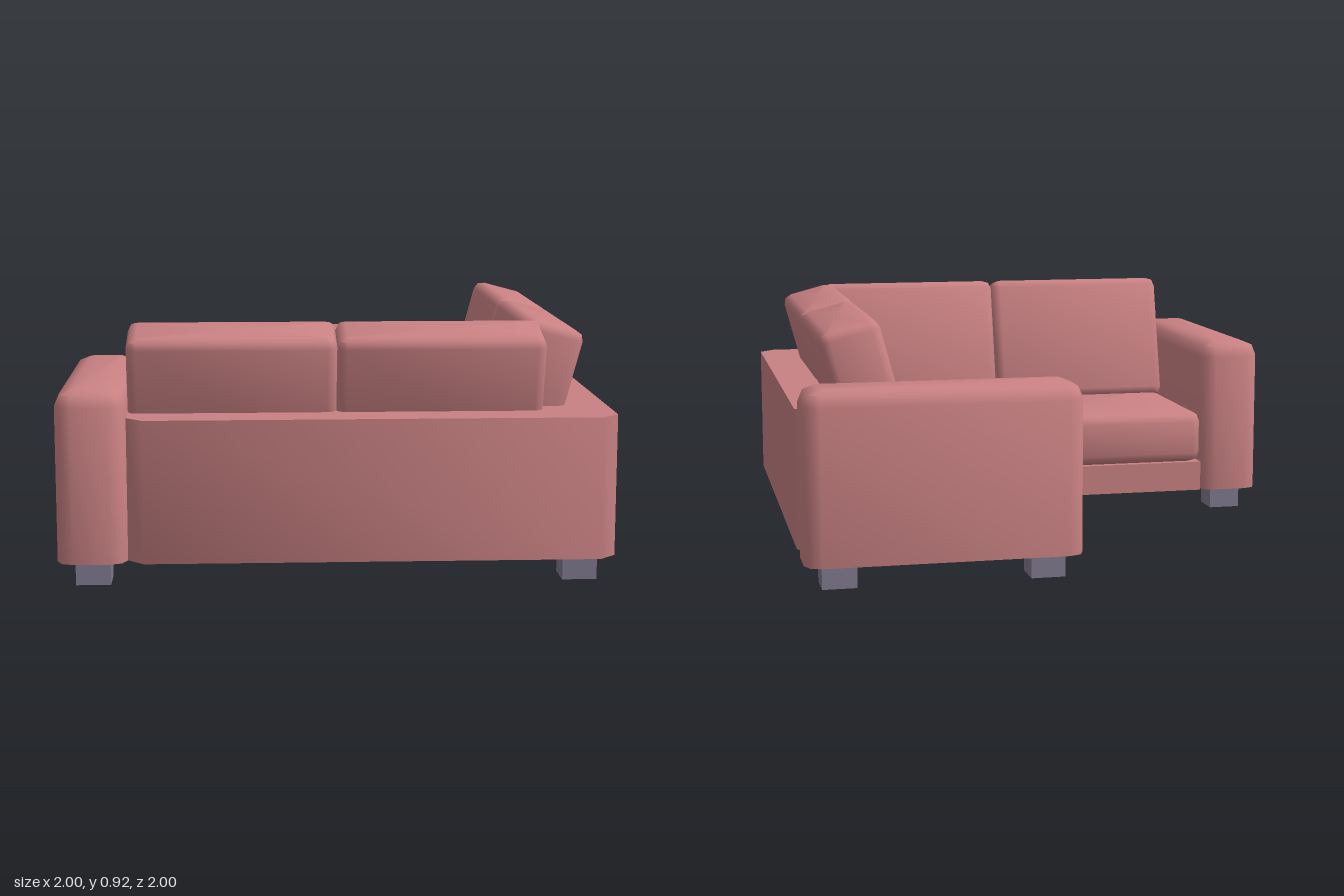
import * as THREE from 'three';
import { toCreasedNormals } from 'three/addons/utils/BufferGeometryUtils.js';

const CREASE = 0.9;

// Points around a rectangle with rounded corners, at height y
function ring(w, d, r, y, seg) {
  const pts = [];
  const signs = [[1, 1], [-1, 1], [-1, -1], [1, -1]];
  signs.forEach(([sx, sz], q) => {
    for (let i = 0; i <= seg; i++) {
      const a = (q + i / seg) * Math.PI / 2;
      pts.push([sx * (w / 2 - r) + r * Math.cos(a), y, sz * (d / 2 - r) + r * Math.sin(a)]);
    }
  });
  return pts;
}

// Upholstered block: rounded upright corners, rounded top, optionally rounded bottom
function softBox(w, h, d, r, seg, roundBottom) {
  const rings = [];
  const add = (inset, y) =>
    rings.push(ring(w - 2 * inset, d - 2 * inset, Math.max(r - inset, r * 0.3), y, seg));
  if (roundBottom) {
    for (let i = 0; i < seg; i++) {
      const a = (i / seg) * Math.PI / 2;
      add(r * (1 - Math.sin(a)), -h / 2 + r * (1 - Math.cos(a)));
    }
    add(0, -h / 2 + r);
  } else add(0, -h / 2);
  for (let i = 0; i <= seg; i++) {
    const a = (i / seg) * Math.PI / 2;
    add(r * (1 - Math.cos(a)), h / 2 - r + r * Math.sin(a));
  }
  const n = rings[0].length;
  const pos = rings.flat(2);
  const idx = [];
  for (let i = 0; i < rings.length - 1; i++) {
    for (let j = 0; j < n; j++) {
      const k = (j + 1) % n;
      const a = i * n + j, b = i * n + k, c = a + n, e = b + n;
      idx.push(a, c, e, a, e, b);
    }
  }
  // Caps
  const bottom = rings.length * n, top = bottom + 1, last = (rings.length - 1) * n;
  pos.push(0, -h / 2, 0, 0, h / 2, 0);
  for (let j = 0; j < n; j++) {
    const k = (j + 1) % n;
    idx.push(bottom, j, k, top, last + k, last + j);
  }
  const g = new THREE.BufferGeometry();
  g.setAttribute('position', new THREE.Float32BufferAttribute(pos, 3));
  g.setIndex(idx);
  return toCreasedNormals(g, CREASE);
}

// Floor-plan outline given as [x, z], raised from y0 to y1
function planExtrude(points, y0, y1) {
  const shape = new THREE.Shape(points.map(([x, z]) => new THREE.Vector2(x, z)));
  const g = new THREE.ExtrudeGeometry(shape, { depth: y1 - y0, bevelEnabled: false });
  g.rotateX(Math.PI / 2).translate(0, y1, 0);
  return toCreasedNormals(g, CREASE);
}

export function createModel() {
  const fabric = new THREE.MeshStandardMaterial({ color: 0xc98183 });
  fabric.name = 'rose fabric';
  const legPaint = new THREE.MeshStandardMaterial({ color: 0x807a8f });
  legPaint.name = 'grey legs';

  const sofa = new THREE.Group();
  sofa.name = 'cornerSofa';
  const add = (name, geo, mat, x = 0, y = 0, z = 0) => {
    const m = new THREE.Mesh(geo, mat);
    m.name = name;
    m.position.set(x, y, z);
    m.rotation.order = 'YXZ';
    sofa.add(m);
    return m;
  };

  // Seat deck and the taller back frame around the outside
  add('seatDeck', planExtrude(
    [[-0.75, 0.01], [0.01, 0.01], [0.01, -0.75], [0.75, -0.75], [0.75, 0.75], [-0.75, 0.75]],
    0.09, 0.21), fabric);
  add('backFrame', planExtrude(
    [[-0.75, 0.75], [-0.75, 0.94], [-0.69, 1], [0.94, 1], [1, 0.94], [1, -0.69],
      [0.94, -0.75], [0.75, -0.75], [0.75, 0.75]],
    0.09, 0.605), fabric);

  // Seat cushions: corner and one on each wing
  const seat = softBox(0.75, 0.21, 0.75, 0.04, 2, true);
  [[0.375, 0.375], [-0.375, 0.375], [0.375, -0.375]].forEach(([x, z]) =>
    add('seatCushion', seat, fabric, x, 0.315, z));

  // The two wings are the same with x and z exchanged
  const arm = softBox(0.25, 0.62, 1, 0.06, 2, false);
  const backCushion = softBox(0.75, 0.53, 0.225, 0.035, 2, true);
  for (const swap of [false, true]) {
    const place = (name, geo, x, y, z) => {
      const m = add(name, geo, fabric, swap ? z : x, y, swap ? x : z);
      if (swap) m.rotation.y = Math.PI / 2;
      return m;
    };
    place('armrest', arm, -0.875, 0.4, 0.5);
    for (const x of [-0.375, 0.375]) {
      place('backCushion', backCushion, x, 0.643, 0.741).rotation.x = 0.26;
    }
  }

  // Legs
  const leg = new THREE.BoxGeometry(0.125, 0.09, 0.125);
  [[-0.875, 0.125], [-0.875, 0.875], [0.875, 0.875], [0.875, -0.875], [0.125, -0.875]]
    .forEach(([x, z]) => add('leg', leg, legPaint, x, 0.045, z));

  return sofa;
}
